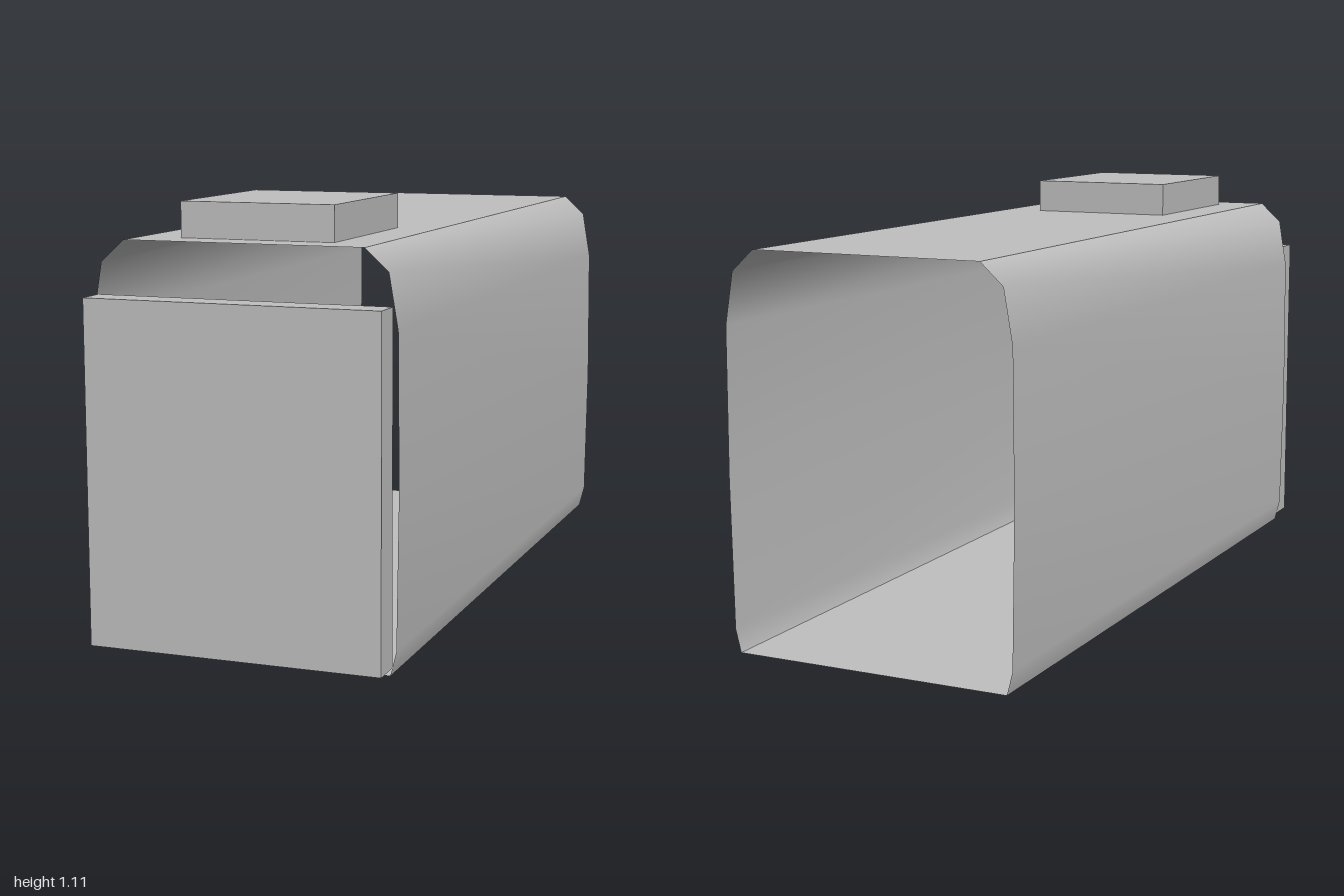
import * as THREE from 'three';

const Z_BACK = -1, Z_FRONT = 0.92;

// Sweeps an open profile of [x, y] points along z, smooth within the panel
function panelGeometry(profile) {
  const positions = [], index = [];
  profile.forEach(([x, y], i) => {
    positions.push(x, y, Z_BACK, x, y, Z_FRONT);
    if (i < profile.length - 1) {
      const a = i * 2;
      index.push(a, a + 1, a + 2, a + 1, a + 3, a + 2);
    }
  });
  const geometry = new THREE.BufferGeometry();
  geometry.setAttribute('position', new THREE.Float32BufferAttribute(positions, 3));
  geometry.setIndex(index);
  geometry.computeVertexNormals();
  return geometry;
}

export function createModel() {
  const model = new THREE.Group();
  const grey = new THREE.MeshStandardMaterial({ color: 0xc0c0c0, side: THREE.DoubleSide });
  grey.name = 'grey';

  const add = (name, geometry, x = 0, y = 0, z = 0) => {
    const mesh = new THREE.Mesh(geometry, grey);
    mesh.name = name;
    mesh.position.set(x, y, z);
    model.add(mesh);
  };

  // Thin sleeve, open at both ends, with bevelled top corners
  const wall = [[0.31, 1.02], [0.37, 0.965], [0.393, 0.83], [0.396, 0.45], [0.39, 0.06], [0.375, 0]];
  const mirrored = wall.map(([x, y]) => [-x, y]).reverse();
  add('leftWall', panelGeometry(wall));
  add('rightWall', panelGeometry(mirrored));
  add('roof', panelGeometry([[-0.31, 1.02], [0.31, 1.02]]));
  add('floor', panelGeometry([[0.375, 0], [-0.375, 0]]));

  // Front plate and the raised block on the roof
  add('frontPlate', new THREE.BoxGeometry(0.76, 0.865, 0.08), 0, 0.4525, 0.96);
  add('roofBlock', new THREE.BoxGeometry(0.4, 0.09, 0.465), 0, 1.065, 0.5925);

  return model;
}
